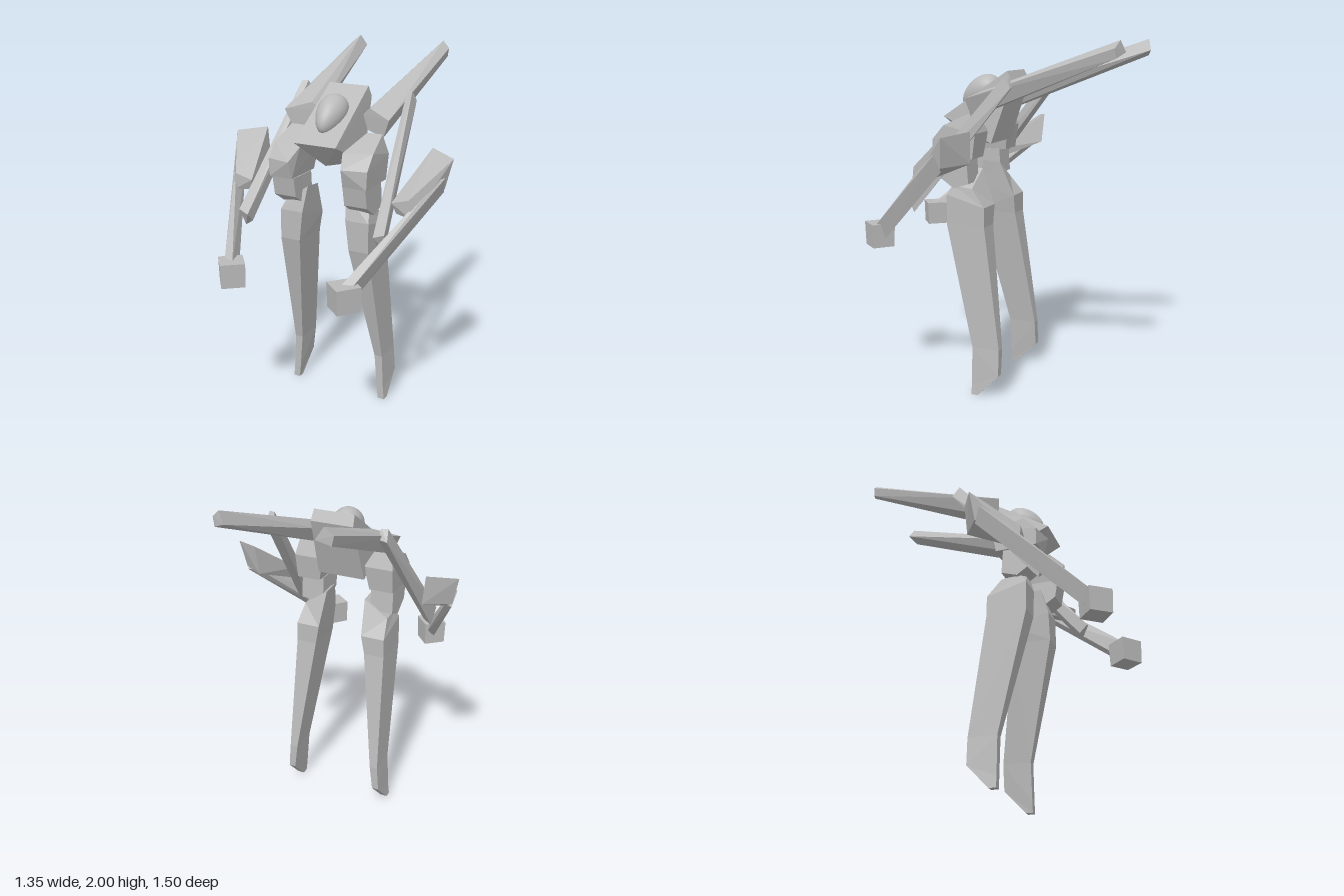
import * as THREE from 'three';
import { ConvexGeometry } from 'three/addons/geometries/ConvexGeometry.js';

const grey = new THREE.MeshStandardMaterial({ color: 0xbababa });
grey.name = 'hullGrey';

// Faceted solid around a handful of corners; side = -1 mirrors it
function hull(name, points, side = 1) {
  const v = points.map(([x, y, z]) => new THREE.Vector3(x * side, y, z));
  const mesh = new THREE.Mesh(new ConvexGeometry(v), grey);
  mesh.name = name;
  return mesh;
}

// Flat-faced solid through four-cornered cross-sections
function loft(name, sections, side = 1) {
  const pos = [];
  const quad = (a, b, c, d) => {
    const order = side > 0 ? [a, b, c, a, c, d] : [a, c, b, a, d, c];
    for (const [x, y, z] of order) pos.push(x * side, y, z);
  };
  for (let i = 0; i < sections.length - 1; i++) {
    const s = sections[i], t = sections[i + 1];
    for (let k = 0; k < 4; k++) {
      const n = (k + 1) % 4;
      quad(s[k], t[k], t[n], s[n]);
    }
  }
  const first = sections[0], last = sections[sections.length - 1];
  quad(first[0], first[1], first[2], first[3]);
  quad(last[3], last[2], last[1], last[0]);
  const g = new THREE.BufferGeometry();
  g.setAttribute('position', new THREE.Float32BufferAttribute(pos, 3));
  g.computeVertexNormals();
  const mesh = new THREE.Mesh(g, grey);
  mesh.name = name;
  return mesh;
}

// Leg cross-section: inner/outer x, front (y, z), back (y, z), rise of the inner side
function legSection(xi, xo, yf, zf, yb, zb, rise = 0) {
  return [[xo, yf, zf], [xo, yb, zb], [xi, yb + rise, zb], [xi, yf + rise, zf]];
}

function buildSide(side) {
  const group = new THREE.Group();
  group.name = side > 0 ? 'leftSide' : 'rightSide';

  // Long swept wing
  group.add(hull('wing', [
    [0.18, 1.73, 0.05], [0.32, 1.69, 0.11], [0.28, 1.59, 0.09], [0.13, 1.69, 0.03], [0.16, 1.61, 0.04],
    [0.275, 2.0, -0.73], [0.32, 1.96, -0.715], [0.31, 1.91, -0.72], [0.24, 1.94, -0.75],
  ], side));

  // Upper arm plank
  group.add(hull('upperArm', [
    [0.31, 1.81, -0.14], [0.345, 1.81, -0.13], [0.30, 1.76, -0.165], [0.355, 1.75, -0.17],
    [0.385, 1.15, 0.42], [0.445, 1.17, 0.41], [0.385, 1.10, 0.37], [0.43, 1.07, 0.37],
  ], side));

  // Block at the elbow
  group.add(hull('elbowBlock', [
    [0.52, 1.54, -0.02], [0.675, 1.52, 0.07], [0.64, 1.36, 0.09], [0.50, 1.37, -0.01],
    [0.43, 1.31, 0.30], [0.53, 1.34, 0.31], [0.55, 1.24, 0.31], [0.45, 1.25, 0.28],
  ], side));

  // Forearm
  group.add(hull('forearm', [
    [0.655, 1.43, 0.12], [0.62, 1.42, 0.16], [0.635, 1.34, 0.09], [0.59, 1.34, 0.12],
    [0.39, 0.97, 0.64], [0.325, 0.96, 0.665], [0.38, 0.89, 0.59], [0.33, 0.90, 0.60],
  ], side));

  // Hand: a box turned about the vertical, narrower below
  const handTop = [[0.245, 0.66], [0.35, 0.745], [0.435, 0.64], [0.335, 0.555]];
  group.add(hull('hand', handTop.flatMap(([x, z]) => [
    [x, 0.97, z], [0.341 + (x - 0.341) * 0.95, 0.835, 0.65 + (z - 0.65) * 0.95],
  ]), side));

  // Hip, in an upper and a lower part
  group.add(hull('upperHip', [
    [0.19, 1.61, 0.10], [0.28, 1.61, 0.10], [0.13, 1.53, 0.27], [0.30, 1.54, 0.25],
    [0.16, 1.46, 0.35], [0.30, 1.46, 0.32], [0.155, 1.36, 0.32], [0.295, 1.36, 0.32],
    [0.155, 1.36, 0.08], [0.295, 1.36, 0.08], [0.13, 1.5, 0.06], [0.30, 1.5, 0.06],
  ], side));
  group.add(hull('lowerHip', [0.15, 0.285].flatMap((x) => [
    [x, 1.36, 0.31], [x, 1.25, 0.29], [x, 1.19, 0.20], [x, 1.22, 0.11], [x, 1.36, 0.12],
  ]), side));

  // Blade-like leg ending in a pointed foot
  group.add(loft('leg', [
    legSection(0.12, 0.26, 1.20, 0.21, 1.19, 0.10, 0.095),
    legSection(0.135, 0.275, 1.15, 0.25, 1.09, 0.02),
    legSection(0.155, 0.276, 0.98, 0.25, 0.98, 0.02),
    legSection(0.245, 0.292, 0.28, 0.09, 0.28, -0.075),
    legSection(0.263, 0.303, 0.06, 0.09, 0.13, -0.075),
    legSection(0.27, 0.31, 0, 0.09, 0, 0.05),
  ], side));
  return group;
}

export function createModel() {
  const model = new THREE.Group();
  model.name = 'walker';

  // Sloping body
  model.add(hull('body', [-1, 1].flatMap((s) => [
    [0.12 * s, 1.83, -0.05], [0.125 * s, 1.57, 0.34],
    [0.125 * s, 1.77, -0.08], [0.14 * s, 1.43, 0.04], [0, 1.43, 0.22],
  ])));

  // Egg-shaped canopy, tapering toward the front
  const egg = new THREE.SphereGeometry(1, 32, 20);
  const p = egg.attributes.position;
  for (let i = 0; i < p.count; i++) {
    const z = p.getZ(i);
    p.setXYZ(i, p.getX(i) * 0.08 * (1 - 0.25 * z), p.getY(i) * 0.085 * (1 - 0.12 * z), z * 0.13);
  }
  egg.computeVertexNormals();
  const canopy = new THREE.Mesh(egg, grey);
  canopy.name = 'canopy';
  canopy.position.set(0, 1.70, 0.16);
  canopy.rotation.x = Math.atan2(0.26, 0.39);
  model.add(canopy);

  model.add(buildSide(1), buildSide(-1));
  return model;
}
